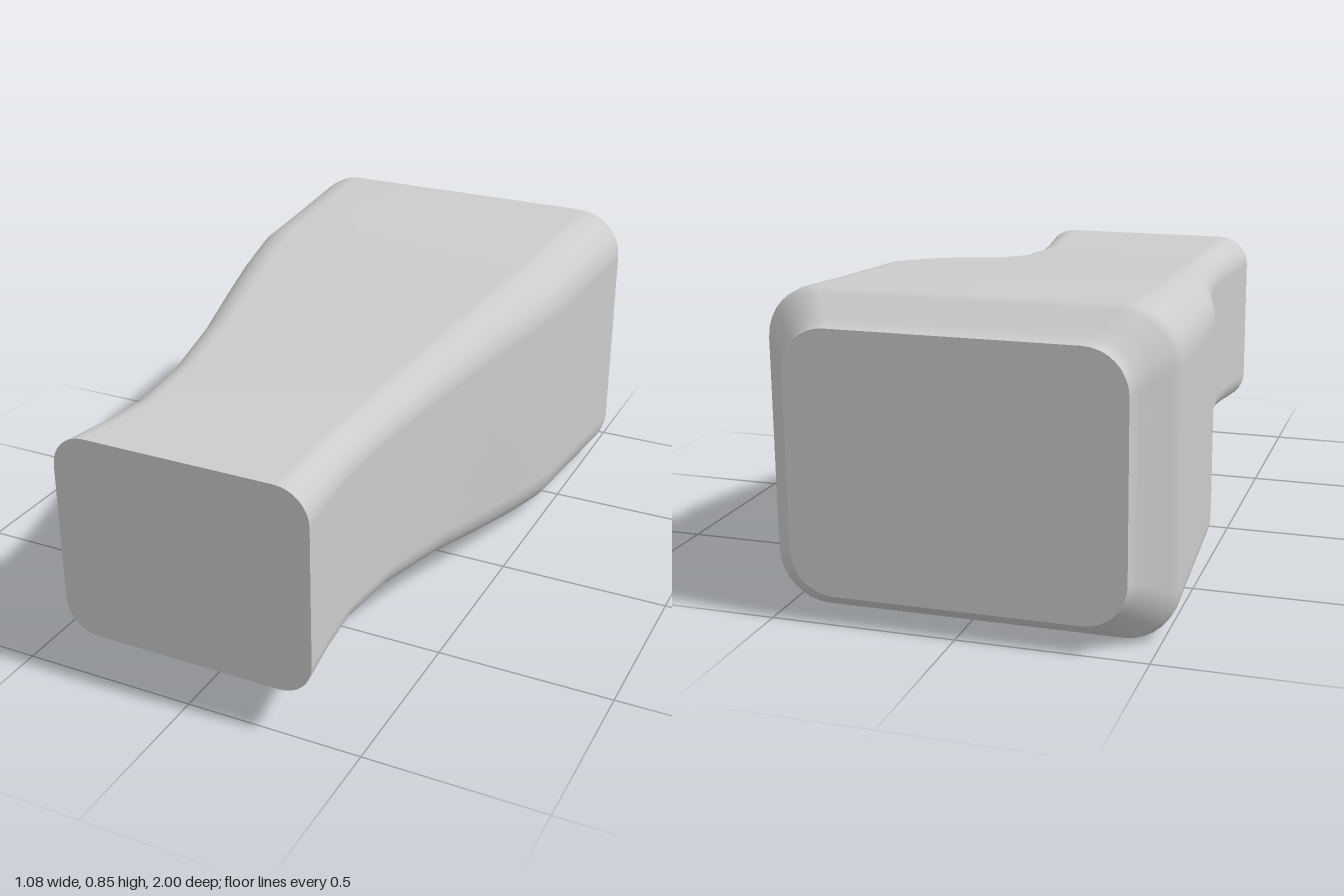
import * as THREE from 'three';

const CENTRE_Y = 0.427;
const CORNER_STEPS = 8;

// Cross-sections from front to back: z, half width, half height
const SECTIONS = [
  [1, 0.365, 0.293], [0.85, 0.346, 0.284], [0.7, 0.333, 0.279], [0.48, 0.348, 0.289],
  [0.22, 0.392, 0.321], [0, 0.442, 0.357], [-0.17, 0.481, 0.381], [-0.35, 0.515, 0.402],
  [-0.6, 0.528, 0.413], [-0.84, 0.541, 0.426], [-0.87, 0.539, 0.425], [-0.89, 0.524, 0.415],
  [-0.93, 0.484, 0.382], [-0.96, 0.457, 0.36], [-0.98, 0.446, 0.351], [-1, 0.443, 0.349],
];

// Rounded rectangle, counterclockwise as seen from the front
function outline(w, h) {
  const r = 0.26 * w;
  const points = [];
  [[1, 1], [-1, 1], [-1, -1], [1, -1]].forEach(([sx, sy], corner) => {
    for (let k = 0; k <= CORNER_STEPS; k++) {
      const a = (corner + k / CORNER_STEPS) * Math.PI / 2;
      points.push(new THREE.Vector2(sx * (w - r) + r * Math.cos(a), sy * (h - r) + r * Math.sin(a)));
    }
  });
  return points;
}

// Smooth skin lofted through all sections
function loftGeometry() {
  const position = [];
  const index = [];
  const n = 4 * (CORNER_STEPS + 1);
  SECTIONS.forEach(([z, w, h], i) => {
    outline(w, h).forEach((p) => position.push(p.x, p.y, z));
    if (i === 0) return;
    for (let j = 0; j < n; j++) {
      const a = (i - 1) * n + j;
      const b = (i - 1) * n + (j + 1) % n;
      index.push(a, a + n, b, b, a + n, b + n);
    }
  });
  const geometry = new THREE.BufferGeometry();
  geometry.setAttribute('position', new THREE.Float32BufferAttribute(position, 3));
  geometry.setIndex(index);
  geometry.computeVertexNormals();
  return geometry;
}

export function createModel() {
  const model = new THREE.Group();
  model.name = 'taperedBlock';
  const grey = new THREE.MeshStandardMaterial({ color: 0xcccccc });
  grey.name = 'lightGrey';

  const add = (name, geometry) => {
    const mesh = new THREE.Mesh(geometry, grey);
    mesh.name = name;
    mesh.position.y = CENTRE_Y;
    model.add(mesh);
    return mesh;
  };

  add('body', loftGeometry());

  // Flat end faces
  const addEnd = (name, [z, w, h], turn) => {
    const end = add(name, new THREE.ShapeGeometry(new THREE.Shape(outline(w, h))));
    end.position.z = z;
    end.rotation.y = turn;
  };
  addEnd('frontEnd', SECTIONS[0], 0);
  addEnd('backEnd', SECTIONS[SECTIONS.length - 1], Math.PI);

  return model;
}
